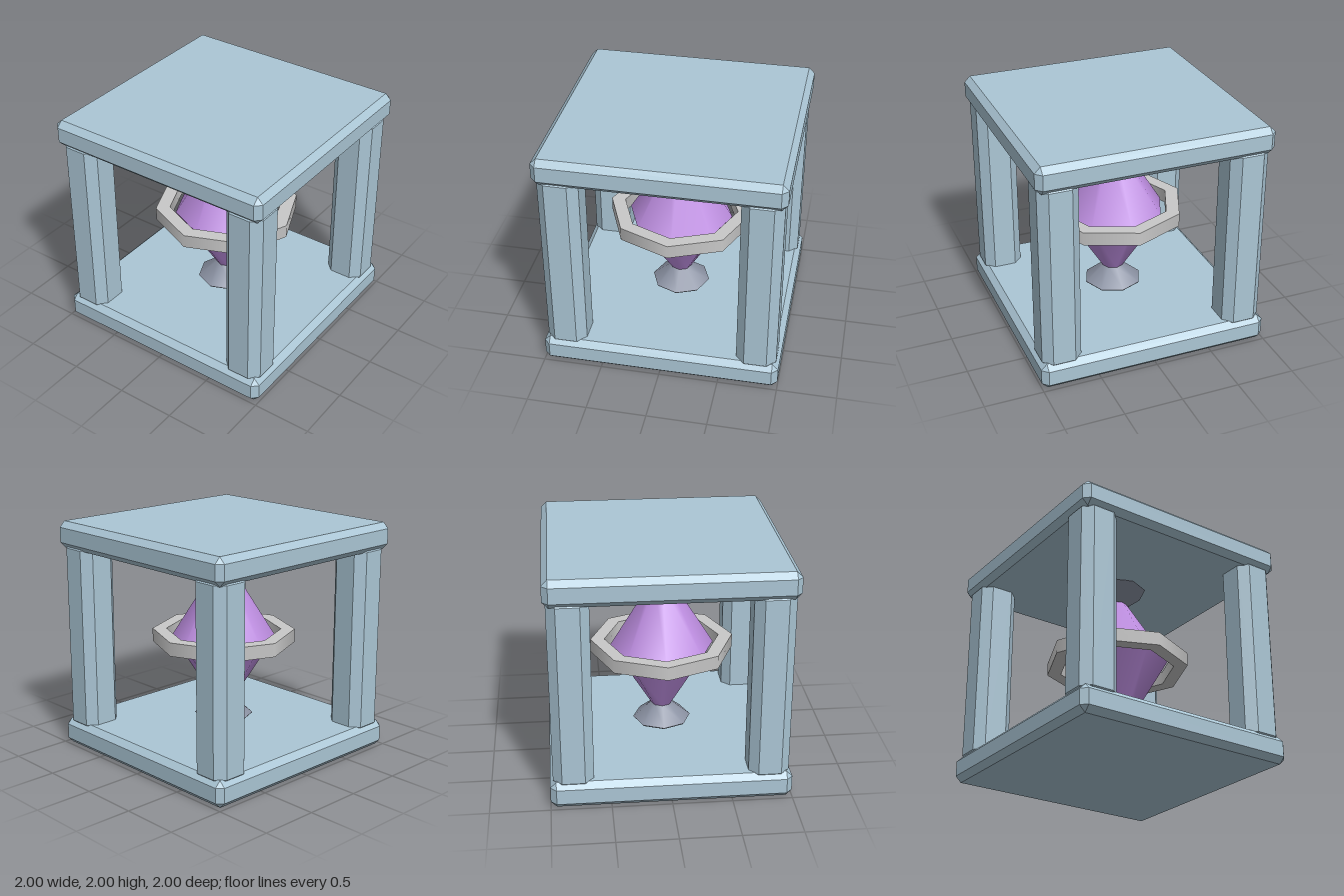
import * as THREE from 'three';
import { mergeGeometries } from 'three/addons/utils/BufferGeometryUtils.js';
import { ConvexGeometry } from 'three/addons/geometries/ConvexGeometry.js';

const mat = (name, color) => {
  const m = new THREE.MeshStandardMaterial({ color });
  m.name = name;
  return m;
};

// Box whose twelve edges are all cut at 45 degrees
function chamferBox(w, h, d, c) {
  const pts = [];
  for (const x of [-w / 2, w / 2]) for (const y of [-h / 2, h / 2]) for (const z of [-d / 2, d / 2]) {
    const X = x - Math.sign(x) * c, Y = y - Math.sign(y) * c, Z = z - Math.sign(z) * c;
    pts.push(new THREE.Vector3(x, Y, Z), new THREE.Vector3(X, y, Z), new THREE.Vector3(X, Y, z));
  }
  return new ConvexGeometry(pts);
}

// Eight-sided turned form: smooth around, sharp between profile segments
function turned(profile) {
  const bands = [];
  for (let i = 0; i < profile.length - 1; i++) {
    const pair = [profile[i], profile[i + 1]].map(([r, y]) => new THREE.Vector2(r, y));
    bands.push(new THREE.LatheGeometry(pair, 8));
  }
  return mergeGeometries(bands);
}

export function createModel() {
  const frame = mat('pale blue', 0xabc6d5);
  const crystal = mat('violet', 0xbd8de0);
  const metal = mat('light grey', 0xc8c8c8);
  const slate = mat('slate grey', 0x8c93a4);

  const model = new THREE.Group();
  model.name = 'cagedCore';
  const add = (name, geometry, material, x = 0, y = 0, z = 0) => {
    const mesh = new THREE.Mesh(geometry, material);
    mesh.name = name;
    mesh.position.set(x, y, z);
    model.add(mesh);
    return mesh;
  };

  // Base and roof slabs
  const slab = chamferBox(2, 0.23, 2, 0.05);
  add('baseSlab', slab, frame, 0, 0.115, 0);
  add('roofSlab', slab, frame, 0, 1.885, 0);

  // Corner posts, their bevelled ends sunk into the slabs
  const post = chamferBox(0.337, 1.7, 0.337, 0.074);
  for (const x of [-1, 1]) for (const z of [-1, 1]) {
    add((z > 0 ? 'front' : 'back') + (x > 0 ? 'Left' : 'Right') + 'Post', post, frame, x * 0.807, 1, z * 0.807);
  }

  // Double-cone core
  add('core', turned([[0, 0.43], [0.092, 0.43], [0.447, 1], [0.092, 1.57], [0, 1.57]]), crystal);

  // Square-section ring around the waist
  add('ring', turned([[0.615, 0.943], [0.615, 1.06], [0.495, 1.06], [0.495, 0.943], [0.615, 0.943]]), metal);

  // Flared end caps
  const cap = turned([[0, 0], [0.09, 0], [0.253, 0.137], [0.243, 0.149], [0, 0.149]]);
  add('topCap', cap, slate, 0, 1.572, 0);
  add('bottomCap', cap, slate, 0, 0.43, 0).rotation.x = Math.PI;

  return model;
}
